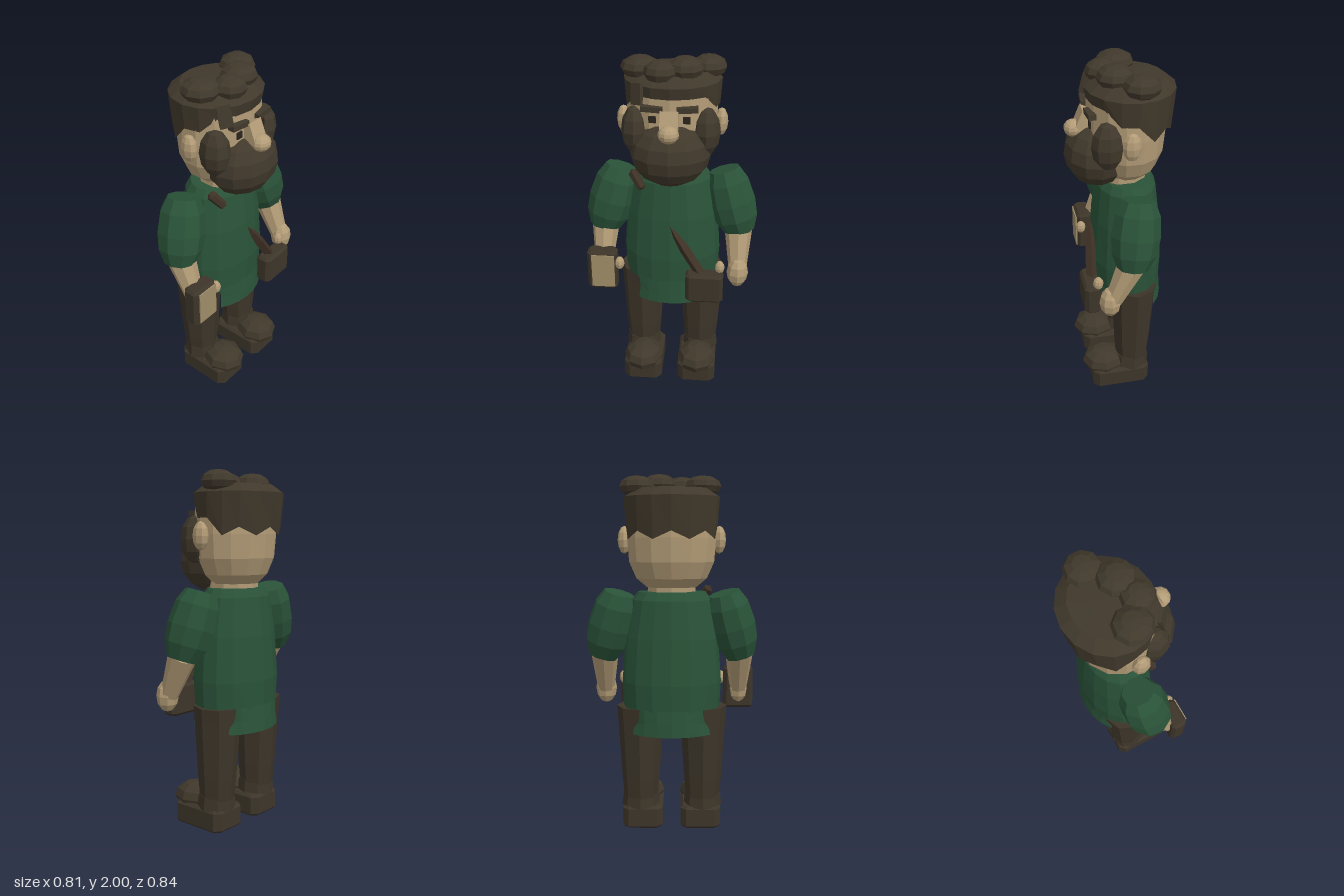
import * as THREE from 'three';

const mat = (name, color, side = THREE.FrontSide) =>
  Object.assign(new THREE.MeshStandardMaterial({ color, flatShading: true, side }), { name });

export function createModel() {
  const skin = mat('skin', 0xb39c77);
  const hair = mat('dark brown hair', 0x40382b, THREE.DoubleSide);
  const cloth = mat('trouser brown', 0x3d3529, THREE.DoubleSide);
  const green = mat('tunic green', 0x2a5339, THREE.DoubleSide);
  const page = mat('parchment', 0xa08d69);
  const wood = mat('wood', 0x3f3226);
  const dark = mat('near black', 0x2a241c);

  const model = new THREE.Group();
  model.name = 'beardedMan';
  const body = new THREE.Group();
  body.name = 'body';
  body.rotation.y = Math.PI / 4; // the figure looks diagonally
  body.position.set(0.009, 0, -0.009);
  model.add(body);

  const add = (name, geo, material, pos = [0, 0, 0]) => {
    const m = new THREE.Mesh(geo, material);
    m.name = name;
    m.position.set(...pos);
    body.add(m);
    return m;
  };
  const ball = (name, material, pos, radii, w = 8, h = 6) =>
    add(name, new THREE.SphereGeometry(1, w, h).scale(...radii), material, pos);
  const box = (name, material, pos, size) => add(name, new THREE.BoxGeometry(...size), material, pos);

  // A lathe along the line from p to q; profile is [radius, fraction of length]
  const along = (name, material, p, q, profile, n = 8) => {
    const a = new THREE.Vector3(...p), d = new THREE.Vector3(...q).sub(a);
    const pts = profile.map(([r, t]) => new THREE.Vector2(r, t * d.length()));
    const m = add(name, new THREE.LatheGeometry(pts, n), material, p);
    m.quaternion.setFromUnitVectors(new THREE.Vector3(0, 1, 0), d.normalize());
    return m;
  };

  // Elliptical loft, bottom to top; ring = [y or y(t), halfWidth, halfDepth, z]
  const loft = (rings, n, start = 0, sweep = Math.PI * 2) => {
    const pos = [], idx = [];
    rings.forEach(([y, a, b, z], j) => {
      for (let i = 0; i <= n; i++) {
        const t = start + (sweep * i) / n;
        pos.push(a * Math.sin(t), typeof y === 'function' ? y(t) : y, z + b * Math.cos(t));
        if (j && i) {
          const c = j * (n + 1) + i, d = c - n - 1;
          idx.push(d - 1, d, c - 1, d, c, c - 1);
        }
      }
    });
    const g = new THREE.BufferGeometry();
    g.setAttribute('position', new THREE.Float32BufferAttribute(pos, 3));
    g.setIndex(idx);
    g.computeVertexNormals();
    return g;
  };

  // Block with cut corners and bevelled edges
  const block = (name, material, pos, [w, h, d], c) => {
    const b = 0.015, x = w / 2 - b, z = d / 2 - b;
    const s = new THREE.Shape([
      [x - c, -z], [x, c - z], [x, z - c], [x - c, z], [c - x, z], [-x, z - c], [-x, c - z], [c - x, -z],
    ].map(([u, v]) => new THREE.Vector2(u, v)));
    const g = new THREE.ExtrudeGeometry(s, {
      depth: h - 2 * b, bevelSize: b, bevelThickness: b, bevelSegments: 1,
    }).translate(0, 0, b - h / 2).rotateX(-Math.PI / 2);
    return add(name, g, material, pos);
  };

  // Tunic with a front and a back flap
  const T = -0.062;
  add('tunic', loft([
    [0.7, 0.272, 0.2, T], [0.85, 0.28, 0.205, T], [1.1, 0.262, 0.19, T],
    [1.31, 0.222, 0.165, T], [1.355, 0.19, 0.14, T], [1.36, 0, 0, T],
  ], 16), green);
  for (const [name, mid, half] of [['frontFlap', 0, 0.74], ['backFlap', Math.PI, 0.9]]) {
    add(name, loft([[0.565, 0.275, 0.212, T], [0.635, 0.262, 0.207, T], [0.71, 0.272, 0.2, T]],
      6, mid - half, 2 * half), green);
  }

  // Neck and head
  add('neck', new THREE.CylinderGeometry(0.14, 0.14, 0.12, 10), skin, [0, 1.38, -0.04]);
  const H = -0.06;
  add('head', loft([
    [1.38, 0, 0, H], [1.38, 0.14, 0.12, H], [1.43, 0.2, 0.165, H], [1.52, 0.24, 0.2, H],
    [1.65, 0.25, 0.212, H], [1.85, 0.245, 0.207, H], [1.87, 0, 0, H],
  ], 14), skin);

  // Hair cap: high over the face, low and notched at the back
  const hairline = (t) => {
    const f = Math.cos(t);
    if (f > 0.6) return 1.81;
    if (f > -0.2) return 1.735;
    return 1.665 + 0.022 * Math.cos(8 * t);
  };
  add('hairCap', loft([
    [hairline, 0.255, 0.224, -0.075], [1.87, 0.264, 0.24, -0.08],
    [1.915, 0.2, 0.18, -0.08], [1.925, 0, 0, -0.08],
  ], 16), hair);
  [
    [0.19, 1.925, -0.1, 0.098, 0.06], [0.07, 1.94, 0.01, 0.1, 0.062],
    [-0.17, 1.93, -0.035, 0.105, 0.06], [-0.055, 1.93, 0.055, 0.09, 0.06],
  ].forEach(([x, y, z, r, h]) => ball('curl', hair, [x, y, z], [r, h, r], 9, 6));
  const lock = box('foreheadLock', hair, [-0.17, 1.83, 0.12], [0.07, 0.11, 0.02]);
  lock.rotation.set(-0.25, -0.7, 0);

  // Face
  ball('beard', hair, [0, 1.502, 0.1], [0.217, 0.178, 0.174], 12, 8);
  const bridge = box('noseBridge', skin, [0, 1.692, 0.165], [0.095, 0.12, 0.07]);
  bridge.rotation.x = -0.4;
  ball('noseTip', skin, [0, 1.65, 0.217], [0.056, 0.046, 0.053], 10, 8);
  for (const s of [-1, 1]) {
    ball('sideburn', hair, [0.19 * s, 1.62, 0.07], [0.075, 0.134, 0.09], 8, 6);
    ball('ear', skin, [0.265 * s, 1.64, -0.038], [0.037, 0.077, 0.05]);
    box('eye', dark, [0.09 * s, 1.705, 0.147], [0.038, 0.036, 0.009]);
    const brow = box('eyebrow', hair, [0.092 * s, 1.762, 0.145], [0.112, 0.028, 0.04]);
    brow.rotation.set(0, 0.08 * s, 0.03 * s);
  }

  // Arms
  for (const s of [-1, 1]) {
    along('sleeve', green, [0.395 * s, 0.985, -0.02], [0.292 * s, 1.347, -0.07],
      [[0, 0.03], [0.085, 0], [0.122, 0.22], [0.133, 0.48], [0.122, 0.8], [0.088, 1], [0, 1]], 9);
    along('forearm', skin, [0.39 * s, 0.78, 0.085], [0.385 * s, 1.03, -0.025],
      [[0, 0], [0.05, 0], [0.08, 0.9], [0, 1]], 8);
    ball('hand', skin, [0.39 * s, 0.775, 0.1], [0.062, 0.09, 0.062]);
    ball('thumb', skin, [0.288 * s, 0.83, 0.148], [0.028, 0.04, 0.03]);
  }

  // Legs and boots
  for (const s of [-1, 1]) {
    const x = 0.178 * s;
    along('trouserLeg', cloth, [x, 0.16, -0.075], [x, 0.71, -0.08],
      [[0, 0], [0.096, 0], [0.108, 0.25], [0.128, 0.85], [0.134, 1], [0, 0.97]], 8);
    along('bootCuff', cloth, [x, 0.12, -0.07], [x, 0.2, -0.07], [[0.11, 0], [0.1, 1], [0, 1]], 8);
    block('boot', cloth, [0.165 * s, 0.065, 0.005], [0.23, 0.13, 0.345], 0.025);
    ball('bootToe', hair, [0.165 * s, 0.145, 0.098], [0.118, 0.085, 0.13]);
  }

  // Book held in the right hand
  block('bookCover', cloth, [-0.39, 0.78, 0.12], [0.172, 0.245, 0.096], 0.01);
  box('bookPanel', page, [-0.382, 0.783, 0.17], [0.132, 0.205, 0.009]);

  // Belt pouch with a pointed stick
  block('pouch', cloth, [0.203, 0.72, 0.178], [0.215, 0.18, 0.095], 0.012);
  along('stick', wood, [0.195, 0.77, 0.17], [0, 1.08, 0.14],
    [[0, 0], [0.03, 0], [0.03, 0.55], [0.02, 0.8], [0, 1]], 4);

  // Peg at the collar
  along('collarPeg', wood, [-0.15, 1.28, 0.1], [-0.22, 1.38, 0.05],
    [[0, 0], [0.025, 0.1], [0.028, 0.85], [0, 1]], 6);

  return model;
}
